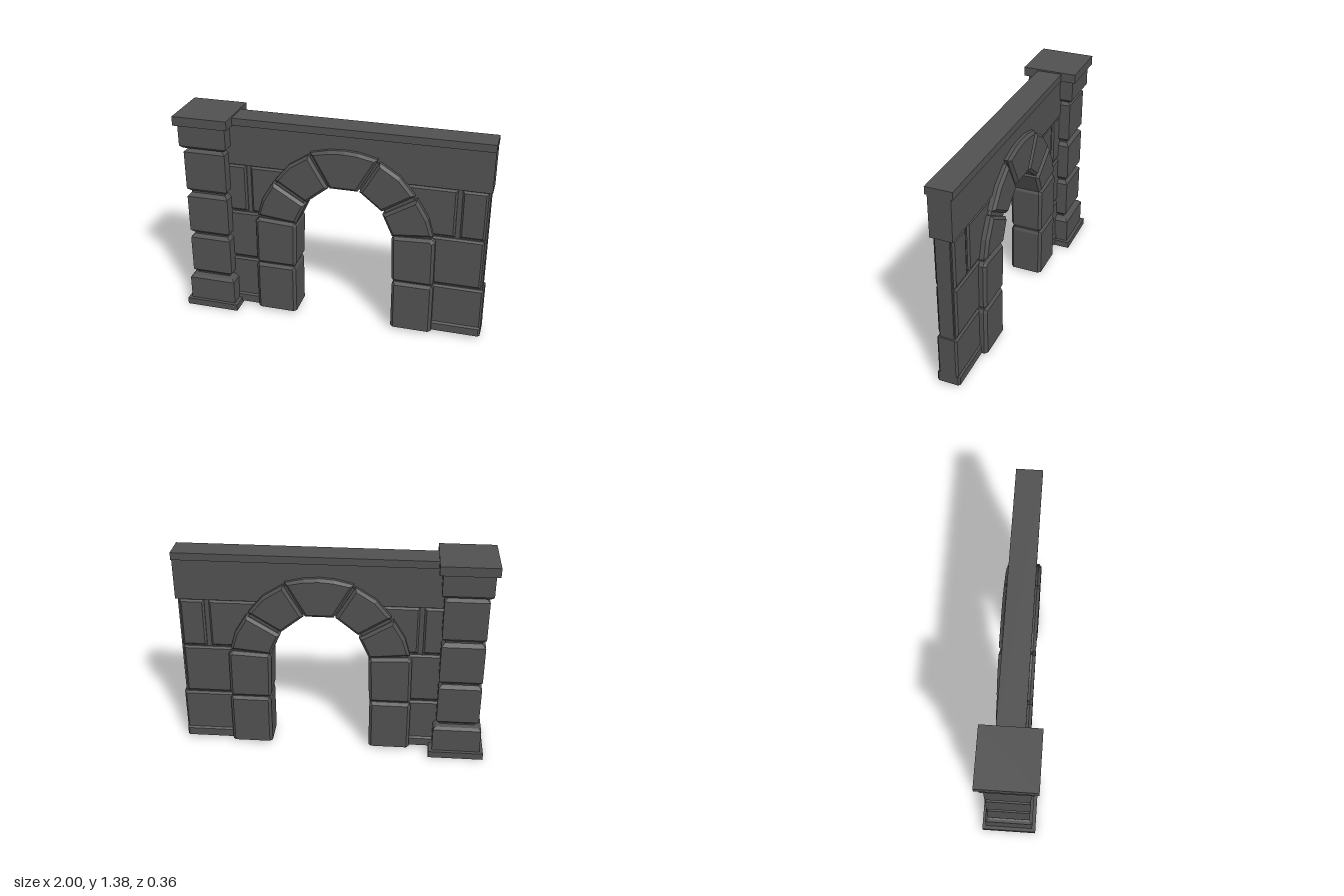
import * as THREE from 'three';

const CX = 0.085;   // centre line of the arch
const GROUND = 0.02; // underside of the wall

export function createModel() {
  const stone = new THREE.MeshStandardMaterial({ color: 0x505050, flatShading: true });
  stone.name = 'dark stone';
  const model = new THREE.Group();
  model.name = 'archedWall';

  const add = (parent, name, geometry) => {
    const mesh = new THREE.Mesh(geometry, stone);
    mesh.name = name;
    parent.add(mesh);
    return mesh;
  };
  const group = (name) => {
    const g = new THREE.Group();
    g.name = name;
    model.add(g);
    return g;
  };
  const outline = (pts) => new THREE.Shape(pts.map(([x, y]) => new THREE.Vector2(x, y)));
  const rect = (x0, x1, y0, y1) => [[x0, y0], [x1, y0], [x1, y1], [x0, y1]];
  const mirror = (pts) => pts.map(([x, y]) => [2 * CX - x, y]).reverse();

  // Slab of half depth h with chamfered front and back edges; flat where it meets the ground
  const slab = (pts, h, bevel = 0) => {
    const geo = new THREE.ExtrudeGeometry(outline(pts), {
      depth: 2 * (h - bevel), steps: 1, bevelEnabled: bevel > 0,
      bevelThickness: bevel, bevelSize: bevel, bevelOffset: -bevel, bevelSegments: 1,
    });
    geo.translate(0, 0, bevel - h);
    const p = geo.attributes.position;
    for (let i = 0; i < p.count; i++) if (p.getY(i) < GROUND + 0.021) p.setY(i, GROUND);
    geo.computeVertexNormals();
    return geo;
  };

  // Pillar: square stacked stones with chamfered joints
  const pillar = group('pillar');
  pillar.position.x = -0.82;
  const profile = [
    [0, 0.04], [0.157, 0.04], [0.157, 0.205], [0.142, 0.222], [0.115, 0.23],
    [0.115, 0.24], [0.138, 0.262], [0.138, 0.51], [0.115, 0.532],
    [0.115, 0.542], [0.138, 0.565], [0.138, 0.815], [0.115, 0.838],
    [0.115, 0.85], [0.138, 0.872], [0.138, 1.13], [0.115, 1.15],
    [0.115, 1.156], [0.14, 1.16], [0.157, 1.178], [0.157, 1.33], [0, 1.33],
  ].map(([r, y]) => new THREE.Vector2(r * Math.SQRT2, y));
  add(pillar, 'pillarStones', new THREE.LatheGeometry(profile, 4, Math.PI / 4));
  add(pillar, 'pillarBase', new THREE.BoxGeometry(0.36, 0.045, 0.36)).position.y = 0.0225;
  add(pillar, 'pillarCap', new THREE.BoxGeometry(0.36, 0.06, 0.36)).position.y = 1.35;

  // Wall core, recessed in the joints
  const wall = group('wall');
  add(wall, 'wallCore', slab([
    [-0.75, GROUND], [-0.32, GROUND], [-0.32, 0.7], [-0.22, 0.92], [-0.06, 1.07],
    [0.23, 1.07], [0.39, 0.92], [0.49, 0.7], [0.49, GROUND], [0.988, GROUND],
    [0.988, 1.33], [-0.75, 1.33],
  ], 0.045));

  // Wall courses
  const courses = [
    ['baseCourse', -0.72, -0.4, GROUND, 0.085, 0.075],
    ['baseCourse', 0.57, 0.998, GROUND, 0.085, 0.075],
    ['lowerBlock', -0.72, -0.4, 0.07, 0.36, 0.064],
    ['lowerBlock', 0.57, 0.998, 0.07, 0.36, 0.064],
    ['middleBlock', -0.72, -0.4, 0.372, 0.708, 0.064],
    ['middleBlock', 0.57, 0.976, 0.372, 0.708, 0.064],
    ['upperBlock', -0.72, -0.57, 0.72, 1.042, 0.064],
    ['upperBlock', -0.54, -0.28, 0.72, 1.042, 0.064],
    ['upperBlock', 0.45, 0.79, 0.72, 1.042, 0.064],
    ['upperBlock', 0.82, 0.976, 0.72, 1.042, 0.064],
  ];
  for (const [name, x0, x1, y0, y1, h] of courses) {
    add(wall, name, slab(rect(x0, x1, y0, y1), h, 0.012));
  }
  add(wall, 'topBand', slab(rect(-0.72, 0.998, 1.052, 1.33), 0.07));
  add(wall, 'coping', slab(rect(-0.72, 1, 1.322, 1.37), 0.083));

  // Arch stones, mirrored about the arch centre
  const arch = group('arch');
  const halfStones = {
    lowerPier: [[-0.51, GROUND], [-0.24, GROUND], [-0.24, 0.34], [-0.25, 0.362], [-0.5, 0.362], [-0.51, 0.34]],
    upperPier: [[-0.495, 0.368], [-0.25, 0.368], [-0.236, 0.39], [-0.228, 0.67], [-0.24, 0.69], [-0.48, 0.703], [-0.505, 0.68], [-0.508, 0.39]],
    springer: [[-0.49, 0.72], [-0.23, 0.692], [-0.165, 0.835], [-0.38, 0.965], [-0.455, 0.84]],
    haunch: [[-0.365, 0.985], [-0.16, 0.855], [-0.015, 0.972], [-0.14, 1.183], [-0.27, 1.1]],
  };
  for (const [name, pts] of Object.entries(halfStones)) {
    add(arch, name + 'Right', slab(pts, 0.11, 0.018));
    add(arch, name + 'Left', slab(mirror(pts), 0.11, 0.018));
  }
  add(arch, 'keystone', slab([
    [-0.005, 0.972], [0.175, 0.972], [0.3, 1.2], [0.18, 1.228], [0.085, 1.235], [-0.01, 1.228], [-0.13, 1.2],
  ], 0.11, 0.018));

  // Mortar filling the joints between the arch stones
  const halfRing = [[-0.255, GROUND], [-0.255, 0.69], [-0.175, 0.86], [-0.015, 0.985]];
  const halfOuter = [[-0.13, 1.175], [-0.36, 0.96], [-0.475, 0.7], [-0.49, GROUND]];
  const rightHalf = [...halfRing, [CX, 0.985], [CX, 1.215], ...halfOuter];
  add(arch, 'mortarRight', slab(rightHalf, 0.085));
  add(arch, 'mortarLeft', slab(mirror(rightHalf), 0.085));

  return model;
}
